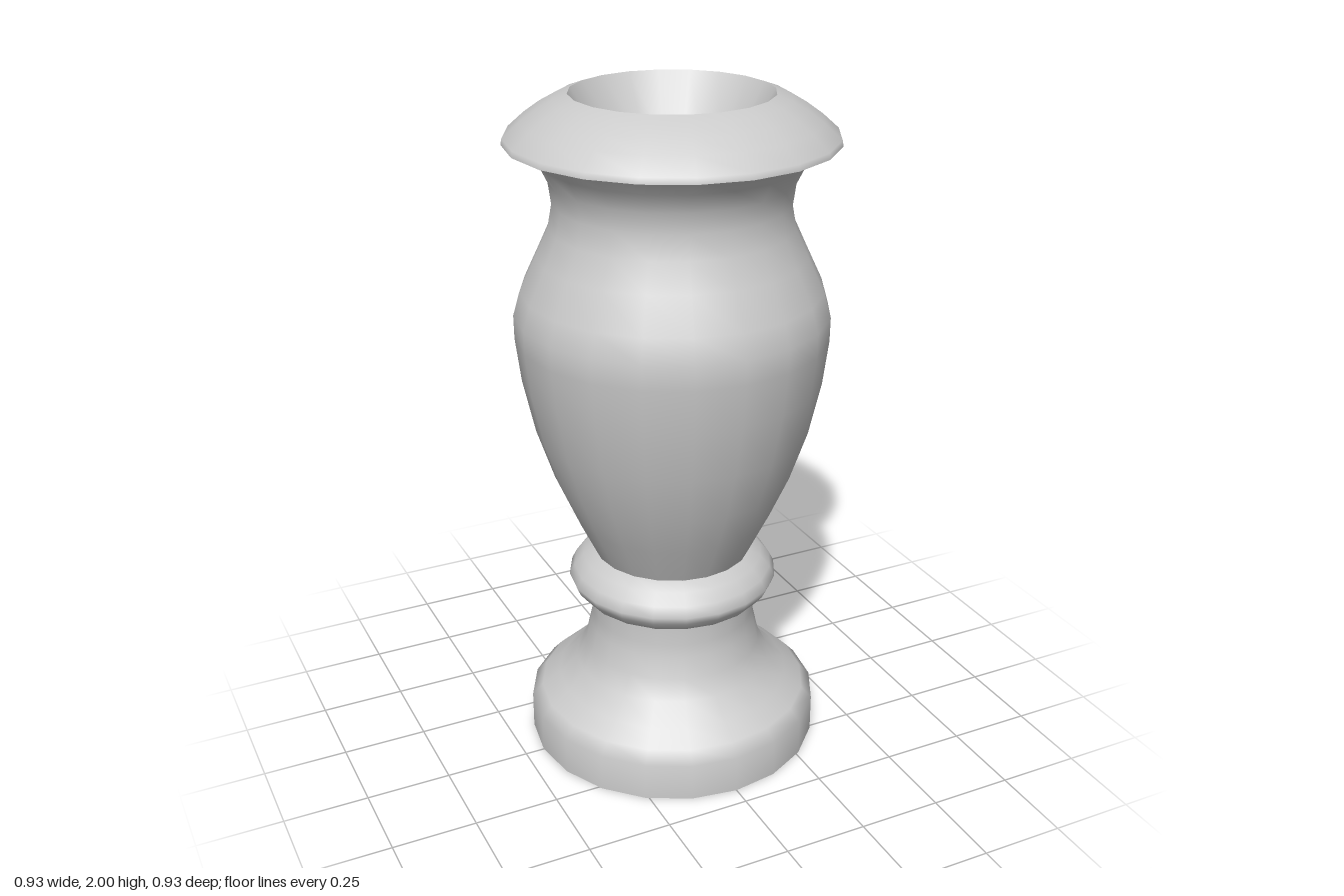
import * as THREE from 'three';

const SIDES = 20;
const material = new THREE.MeshStandardMaterial({ color: 0xcccccc });

// Turned section; profile is [radius, height] pairs in outward winding order
function turned(name, profile) {
  const points = profile.map(([r, y]) => new THREE.Vector2(r, y));
  const mesh = new THREE.Mesh(new THREE.LatheGeometry(points, SIDES), material);
  mesh.name = name;
  return mesh;
}

export function createModel() {
  const group = new THREE.Group();
  group.name = 'turnedCandleHolder';

  // Foot: flat underside, short upright band, concave sweep into the stem
  group.add(turned('footUnderside', [[0, 0], [0.442, 0]]));
  group.add(turned('foot', [
    [0.442, 0], [0.442, 0.115], [0.41, 0.15], [0.355, 0.19], [0.3, 0.245],
    [0.27, 0.305], [0.255, 0.37], [0.248, 0.41], [0.248, 0.47],
  ]));

  // Rounded collar between stem and body
  group.add(turned('collar', [
    [0.248, 0.47], [0.28, 0.485], [0.305, 0.515], [0.315, 0.54],
    [0.3, 0.57], [0.272, 0.603], [0.235, 0.622],
  ]));

  // Vase-shaped body with a narrow neck flaring to the rim
  group.add(turned('body', [
    [0.235, 0.622], [0.295, 0.745], [0.35, 0.87], [0.4, 1.02], [0.435, 1.18],
    [0.451, 1.31], [0.452, 1.38], [0.432, 1.45], [0.385, 1.55], [0.348, 1.63],
    [0.335, 1.7], [0.343, 1.76], [0.37, 1.815], [0.42, 1.868],
  ]));

  // Rim: flat lip below, domed top
  group.add(turned('rimLip', [[0.42, 1.868], [0.466, 1.868]]));
  group.add(turned('rim', [
    [0.466, 1.868], [0.463, 1.885], [0.416, 1.927], [0.37, 1.96],
    [0.325, 1.985], [0.284, 2],
  ]));

  // Tapered candle well
  group.add(turned('wellWall', [[0.284, 2], [0.185, 1.83]]));
  group.add(turned('wellFloor', [[0.185, 1.83], [0, 1.83]]));

  return group;
}
